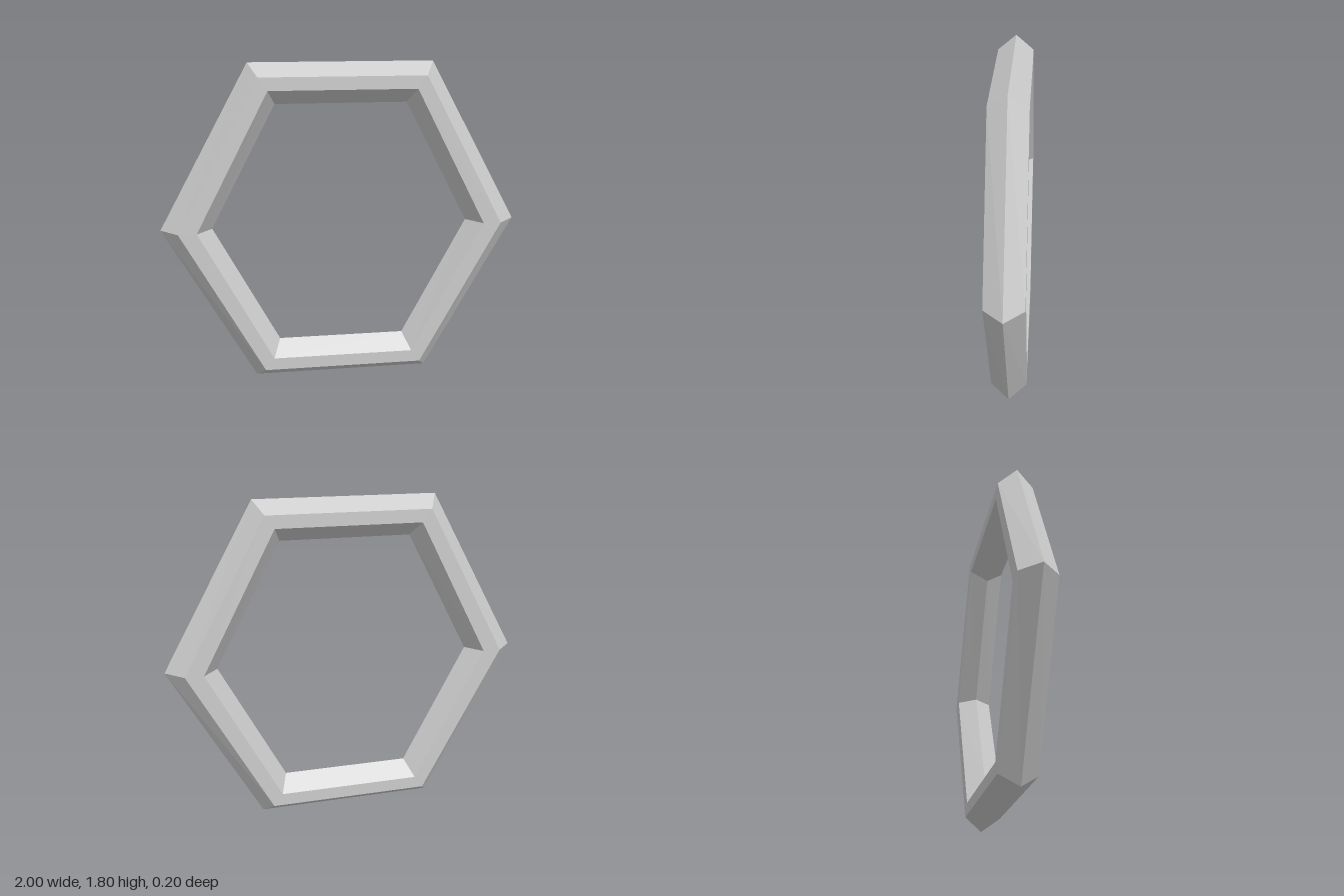
import * as THREE from 'three';

// Each ring of the frame: half width, half height and depth of its hexagon
const RINGS = [
  { r: 1, h: 0.9, z: 0 },       // outer ridge
  { r: 0.9, h: 0.83, z: 0.1 },  // front face, outer edge
  { r: 0.8, h: 0.76, z: 0.1 },  // front face, inner edge
  { r: 0.72, h: 0.68, z: 0 },   // inner ridge
  { r: 0.8, h: 0.76, z: -0.1 }, // back face, inner edge
  { r: 0.9, h: 0.83, z: -0.1 }, // back face, outer edge
];
const SIDES = 6;

// Corner i of a slightly stretched hexagon, counted from +x towards +y
function corner({ r, h, z }, i) {
  const a = (i % SIDES) * Math.PI / 3;
  return [r * Math.cos(a), h * Math.sin(a) / Math.sin(Math.PI / 3), z];
}

function frameGeometry() {
  const pos = [];
  RINGS.forEach((ring, s) => {
    const next = RINGS[(s + 1) % RINGS.length];
    for (let i = 0; i < SIDES; i++) {
      const a = corner(ring, i), b = corner(ring, i + 1);
      const c = corner(next, i + 1), d = corner(next, i);
      pos.push(...a, ...b, ...c, ...a, ...c, ...d);
    }
  });
  const geo = new THREE.BufferGeometry();
  geo.setAttribute('position', new THREE.Float32BufferAttribute(pos, 3));
  geo.computeVertexNormals();
  return geo;
}

export function createModel() {
  const group = new THREE.Group();
  group.name = 'hexagonalRing';

  // Bevelled six-sided frame standing on its lower edge
  const frame = new THREE.Mesh(
    frameGeometry(),
    new THREE.MeshStandardMaterial({ color: 0xcccccc, flatShading: true })
  );
  frame.name = 'hexagonFrame';
  frame.position.y = 0.9;
  group.add(frame);
  return group;
}
